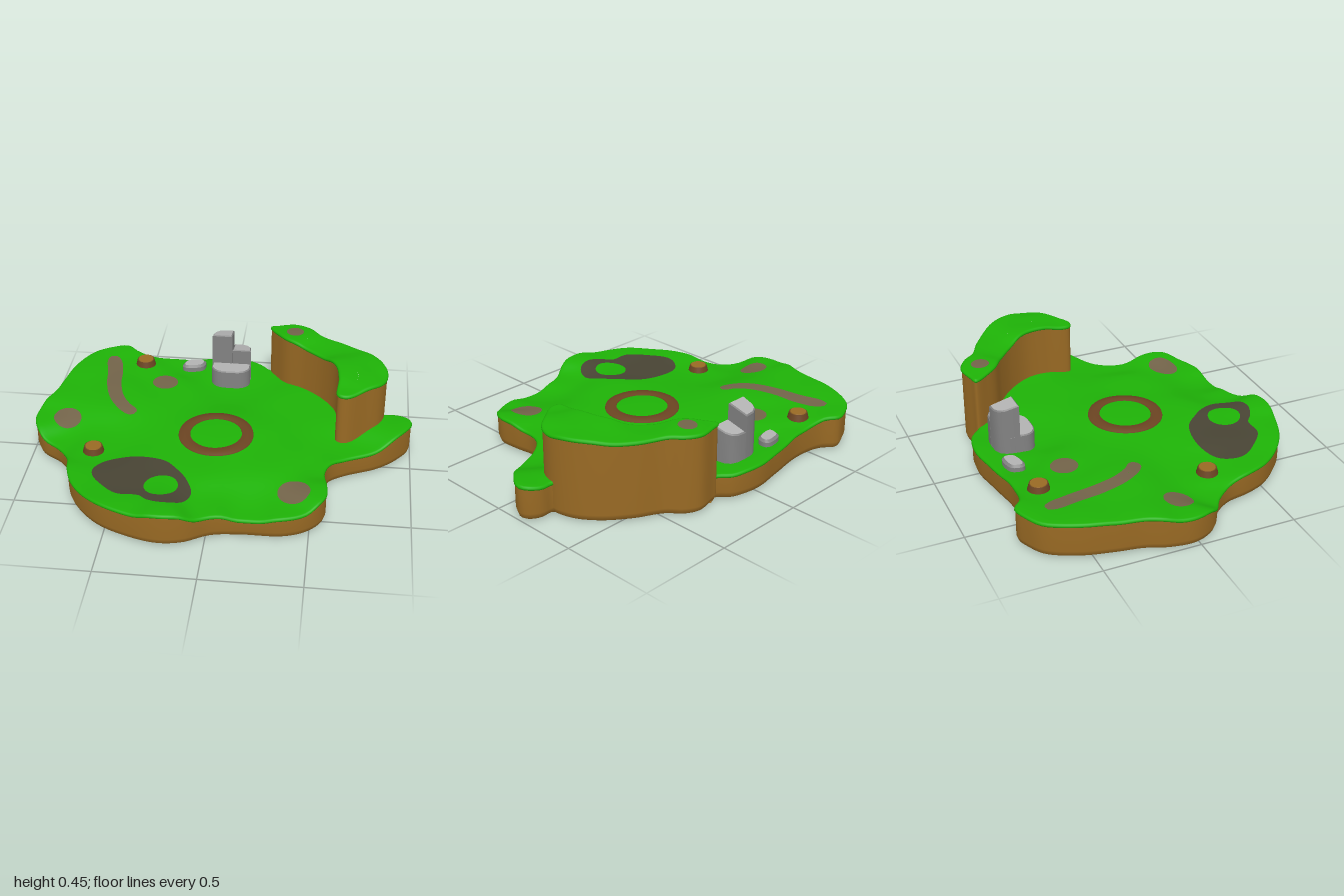
import * as THREE from 'three';
import { toCreasedNormals } from 'three/addons/utils/BufferGeometryUtils.js';

const material = (name, color, side = THREE.FrontSide) => {
  const m = new THREE.MeshStandardMaterial({ color, side });
  m.name = name;
  return m;
};
const V2 = (x, z) => new THREE.Vector2(x, z);

// Smooth closed outline in the ground plane, clockwise seen from above
function outline(points, n) {
  const curve = new THREE.CatmullRomCurve3(points.map(([x, z]) => new THREE.Vector3(x, 0, z)), true);
  return curve.getSpacedPoints(n).slice(0, n).map((p) => V2(p.x, p.z));
}
const circle = (cx, cz, r, n = 40) => Array.from({ length: n }, (_, i) => {
  const a = (i / n) * Math.PI * 2;
  return V2(cx + r * Math.cos(a), cz + r * Math.sin(a));
});
const spline = (points, n) => new THREE.SplineCurve(points.map(([x, z]) => V2(x, z))).getPoints(n);
// Moves an outline inwards along its normals
function inset(pts, d) {
  const n = pts.length;
  return pts.map((p, i) => {
    const t = pts[(i + 1) % n].clone().sub(pts[(i + n - 1) % n]).normalize();
    return V2(p.x - t.y * d, p.y + t.x * d);
  });
}
// Nearest point on a polyline, used as the spine that rings shrink towards
const spine = (pts) => (p) => {
  let best = pts[0], bestD = Infinity;
  for (let i = 0; i + 1 < Math.max(pts.length, 2); i++) {
    const a = pts[i], b = pts[i + 1] || a, ab = b.clone().sub(a);
    const t = THREE.MathUtils.clamp(p.clone().sub(a).dot(ab) / (ab.lengthSq() || 1), 0, 1);
    const q = a.clone().addScaledVector(ab, t), d = q.distanceTo(p);
    if (d < bestD) { bestD = d; best = q; }
  }
  return best;
};
const at = (pts, y) => pts.map((p) => new THREE.Vector3(p.x, typeof y === 'function' ? y(p.x, p.y) : y, p.y));
// Concentric rows from an outline to its spine
function rings(pts, toSpine, count, y) {
  const ends = pts.map(toSpine);
  return Array.from({ length: count + 1 }, (_, k) => at(pts.map((p, i) => p.clone().lerp(ends[i], k / count)), y));
}
// Skin over closed rows, going up the outside and in over the top
function loft(rows) {
  const n = rows[0].length, pos = [], idx = [];
  rows.forEach((r) => r.forEach((p) => pos.push(p.x, p.y, p.z)));
  for (let i = 0; i + 1 < rows.length; i++) {
    for (let j = 0; j < n; j++) {
      const a = i * n + j, b = i * n + (j + 1) % n, c = b + n, d = a + n;
      idx.push(a, d, c, a, c, b);
    }
  }
  const g = new THREE.BufferGeometry();
  g.setAttribute('position', new THREE.Float32BufferAttribute(pos, 3));
  g.setIndex(idx);
  g.computeVertexNormals();
  return g;
}

// Ground heights [x, z, y], blended smoothly: rim, then interior
const RIM = [
  [-1, -.02, .165], [-.84, .18, .115], [-.72, .45, .15], [-.4, .74, .165], [-.2, .78, .188], [.03, .69, .135],
  [.2, .67, .107], [.42, .65, .13], [.575, .48, .168], [.58, .25, .14], [.7, .12, .128], [.98, -.18, .19],
  [.9, -.24, .18], [-.95, -.26, .187], [-.88, -.56, .194], [-.63, -.79, .194], [-.4, -.72, .16], [-.2, -.75, .15],
  [0, -.78, .15], [.21, -.69, .14], [.4, -.35, .155],
];
const INTERIOR = [
  [0, .04, .18], [-.35, -.43, .17], [-.36, .45, .155], [-.64, .21, .135], [0, -.5, .135], [-.23, -.65, .145],
  [-.6, -.3, .185], [.3, .2, .165], [-.1, .3, .17], [-.5, -.62, .178],
];
const CLIFF = [
  [.21, -.69, .425], [.35, -.72, .428], [.35, -.6, .436], [.45, -.45, .415], [.62, -.55, .42],
  [.6, -.25, .45], [.83, -.3, .44], [.75, -.2, .445], [.62, 0, .425], [.855, -.2, .425],
];
const blend = (table) => (x, z) => {
  let sum = 0, total = 0;
  for (const [px, pz, h] of table) {
    const w = 1 / ((x - px) ** 2 + (z - pz) ** 2 + .006) ** 2;
    sum += w * h;
    total += w;
  }
  return sum / total;
};
const landY = blend([...RIM, ...INTERIOR]);
const cliffY = blend(CLIFF);

const ISLAND = [
  [-.63, -.79], [-.56, -.74], [-.4, -.72], [-.18, -.755], [-.01, -.78], [.14, -.75], [.21, -.69], [.3, -.66],
  [.42, -.62], [.5, -.56], [.62, -.5], [.73, -.41], [.8, -.32], [.84, -.24], [.92, -.235], [.98, -.2], [1, -.15],
  [.94, -.05], [.83, .05], [.67, .13], [.59, .19], [.56, .27], [.575, .4], [.575, .51], [.5, .61], [.38, .665],
  [.165, .675], [.03, .695], [-.1, .765], [-.225, .785], [-.395, .745], [-.555, .665], [-.69, .52], [-.74, .4],
  [-.77, .27], [-.835, .18], [-.945, .1], [-1, -.02], [-.985, -.16], [-.945, -.265], [-.92, -.4], [-.88, -.56],
  [-.8, -.71], [-.715, -.765],
];
const PLATEAU = [
  [.205, -.69], [.25, -.705], [.35, -.723], [.43, -.685], [.49, -.62], [.62, -.55], [.75, -.45], [.83, -.34],
  [.857, -.23], [.83, -.14], [.75, -.07], [.65, 0], [.6, -.015], [.6, -.16], [.58, -.28], [.51, -.39],
  [.41, -.48], [.3, -.55], [.25, -.61],
];
const RIDGE = [[.32, -.64], [.45, -.54], [.57, -.43], [.66, -.31], [.7, -.19], [.68, -.09]];
const POND = [
  [-.605, .385], [-.555, .31], [-.42, .27], [-.26, .3], [-.18, .375], [-.12, .455], [-.085, .55], [-.13, .645],
  [-.21, .67], [-.29, .645], [-.34, .605], [-.45, .6], [-.545, .52], [-.6, .445],
];
const PATH = [[-.69, -.655], [-.655, -.5], [-.638, -.37], [-.6, -.24], [-.54, -.15], [-.475, -.105]];

export function createModel() {
  const model = new THREE.Group();
  const grass = material('grass green', 0x1eb207);
  const earth = material('earth brown', 0x996a24);
  const wood = material('dark brown', 0x6b4422);
  const dirt = material('dirt', 0x726349, THREE.DoubleSide);
  const mud = material('dark mud', 0x484434, THREE.DoubleSide);
  const stone = material('stone grey', 0x828282);
  const stoneTop = material('light stone grey', 0xb2b2b2);
  const add = (name, geometry, mat, parent = model) => {
    const mesh = new THREE.Mesh(geometry, mat);
    mesh.name = name;
    parent.add(mesh);
  };

  // Earth body with rounded foot, and a grass cap with a soft lip
  function landmass(name, pts, toSpine, y, count) {
    const g = new THREE.Group();
    g.name = name;
    const wall = inset(pts, .005);
    const rim = (d) => (x, z) => y(x, z) - d;
    add('earth', loft([
      ...rings(inset(pts, .04), toSpine, 4, 0).reverse(), at(inset(pts, .03), 0),
      at(inset(pts, .014), .012), at(wall, .04), at(wall, rim(.016)),
    ]), earth, g);
    add('grass', loft([
      at(wall, rim(.02)), at(pts, rim(.014)), at(pts, rim(.008)), at(inset(pts, .004), rim(.002)),
      ...rings(inset(pts, .012), toSpine, count, y),
    ]), grass, g);
    model.add(g);
  }
  landmass('island', outline(ISLAND, 220), spine([V2(0, 0)]), landY, 36);
  landmass('plateau', outline(PLATEAU, 160), spine(spline(RIDGE, 60)), cliffY, 10);

  // Flat ground markings draped over the grass
  const drape = (name, pts, toSpine, y, mat, lift = .005) =>
    add(name, loft(rings(pts, toSpine, 6, (x, z) => y(x, z) + lift)), mat);
  const spot = (name, x, z, r, y, mat, lift) => drape(name, circle(x, z, r), spine([V2(x, z)]), y, mat, lift);
  spot('dirtSpot', -.36, -.435, .07, landY, dirt);
  spot('dirtSpot', -.83, -.04, .073, landY, dirt);
  spot('dirtSpot', .415, .475, .081, landY, dirt);
  spot('dirtSpot', .345, -.62, .047, cliffY, dirt);
  drape('mudPatch', outline(POND, 80), spine([V2(-.42, .43), V2(-.23, .53)]), landY, mud);
  spot('grassSpot', -.24, .515, .085, landY, grass, .009);

  // Winding dirt path with rounded ends
  const line = spline(PATH, 30);
  const side = (s) => line.map((p, i) => {
    const t = line[Math.min(i + 1, 30)].clone().sub(line[Math.max(i - 1, 0)]).normalize();
    const w = s * (.044 - .01 * i / 30) * Math.sqrt(Math.min(1, (i + .4) / 3, (30.4 - i) / 3));
    return V2(p.x + t.y * w, p.y - t.x * w);
  });
  drape('path', [...side(1), ...side(-1).reverse()], spine(line), landY, dirt);

  // Ring around the central lawn
  const ringAt = (r, d) => at(circle(-.02, .045, r, 64), (x, z) => landY(x, z) + d);
  add('centreRing', loft([ringAt(.197, -.004), ringAt(.194, .007), ringAt(.165, .008),
    ringAt(.137, .007), ringAt(.134, -.004)]), wood);

  // Low tree stumps
  for (const [x, z] of [[-.5, -.62], [-.64, .21]]) {
    const g = new THREE.Group();
    g.name = 'stump';
    g.position.set(x, landY(x, z), z);
    add('bark', new THREE.CylinderGeometry(.047, .063, .06, 28).translate(0, 0, 0), wood, g);
    add('cutTop', new THREE.CylinderGeometry(.041, .043, .006, 28).translate(0, .031, 0), earth, g);
    model.add(g);
  }

  // Stone blocks with bevelled edges, light tops that may fall away to the back
  function block(name, pts, y0, y1, tilt, b = .006) {
    const front = Math.max(...pts.map((p) => p.y));
    const shape = new THREE.Shape(pts.map((p) => V2(p.x, -p.y)));
    const g = new THREE.ExtrudeGeometry(shape, {
      depth: y1 - y0 - 2 * b, bevelSize: b, bevelOffset: -b, bevelThickness: b, bevelSegments: 1,
    }).rotateX(-Math.PI / 2).translate(0, y0 + b, 0);
    const p = g.attributes.position;
    for (let i = 0; i < p.count; i++) {
      if (p.getY(i) > (y0 + y1) / 2) p.setY(i, p.getY(i) - tilt * (front - p.getZ(i)));
    }
    add(name, toCreasedNormals(g, .6), [stoneTop, stone]);
  }
  const poly = (list) => list.map(([x, z]) => V2(x, z));
  block('monumentBase', outline([[-.109, -.57], [-.1, -.645], [-.055, -.68], [.045, -.68], [.09, -.645], [.102, -.57],
    [.099, -.515], [.065, -.483], [-.005, -.475], [-.075, -.483], [-.107, -.515]], 40), .1, .24, 0);
  const column = [[0, -.57], [0, -.69], [.05, -.686], [.08, -.67], [.097, -.64], [.104, -.57]];
  block('tallColumn', poly(column.map(([x, z]) => [-x * 1.06 - .001, z])), .12, .415, .25);
  block('shortColumn', poly(column.map(([x, z]) => [x + .001, z])), .12, .328, .25);
  const pebble = [[-.06, -.01], [-.045, -.036], [.04, -.042], [.062, -.025], [.06, .015], [.042, .034], [-.04, .042], [-.062, .025]];
  block('smallStone', outline(pebble.map(([x, z]) => [x - .225, z - .65 - x * .12]), 28), .11, .184, 0, .012);

  return model;
}
